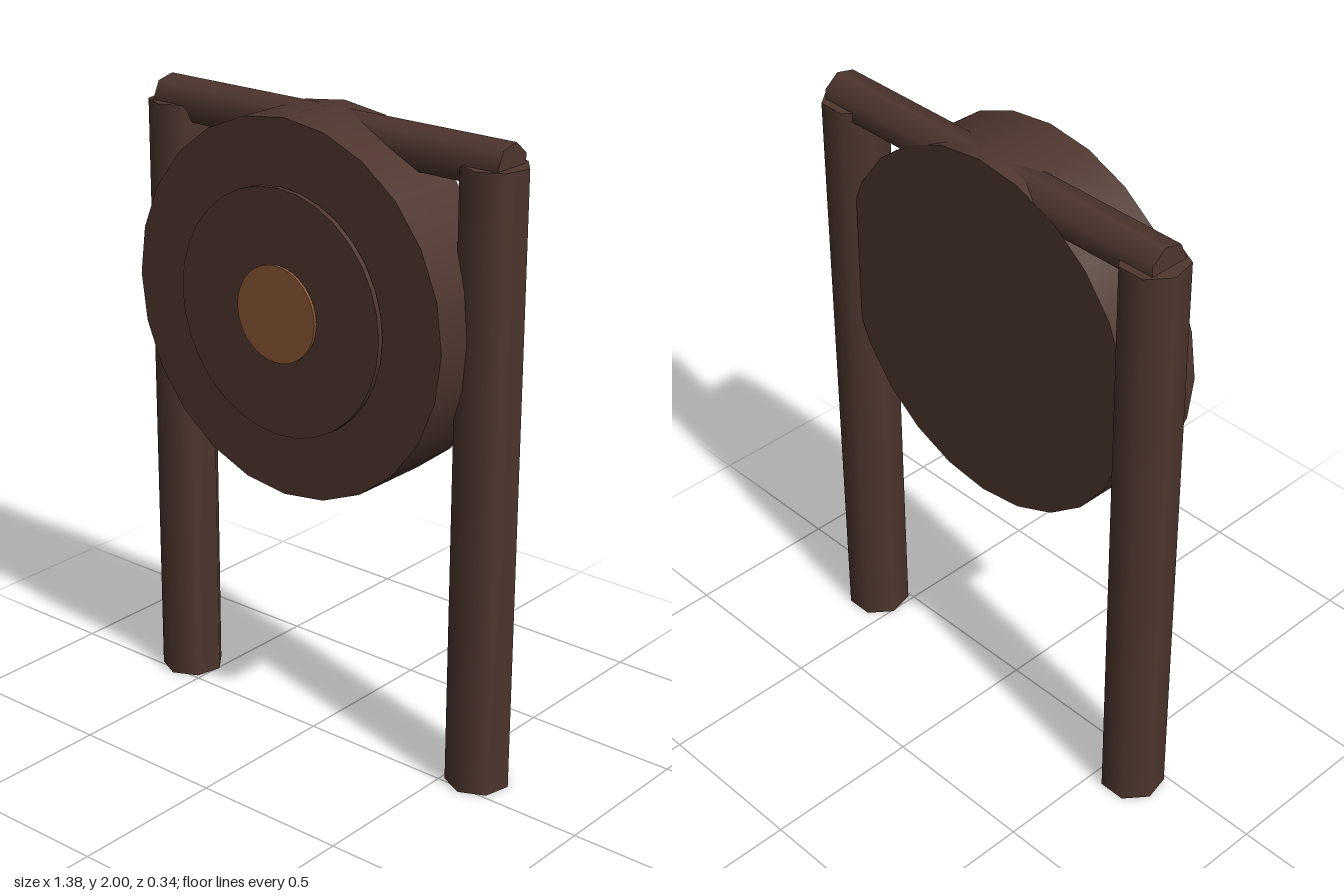
import * as THREE from 'three';

export function createModel() {
  const model = new THREE.Group();
  model.name = 'gongStand';

  const darkWood = new THREE.MeshStandardMaterial({ color: 0x4e362e });
  darkWood.name = 'dark brown';
  const copper = new THREE.MeshStandardMaterial({ color: 0x8d5836 });
  copper.name = 'copper';

  function addCylinder(name, radius, length, sides, material, position) {
    const mesh = new THREE.Mesh(new THREE.CylinderGeometry(radius, radius, length, sides), material);
    mesh.name = name;
    mesh.position.set(...position);
    model.add(mesh);
    return mesh;
  }

  // Round plate facing +z, given by its back and front
  function addDisc(name, radius, back, front, sides, material) {
    const disc = addCylinder(name, radius, front - back, sides, material, [0, 1.424, (back + front) / 2]);
    disc.rotation.x = Math.PI / 2;
  }

  // Seven-sided posts
  addCylinder('leftPost', 0.1, 1.925, 7, darkWood, [0.592, 0.9625, -0.075]);
  addCylinder('rightPost', 0.1, 1.925, 7, darkWood, [-0.592, 0.9625, -0.075]);

  // Crossbar resting in the post tops
  addCylinder('crossbar', 0.07, 1.29, 7, darkWood, [0, 1.925, -0.077]).rotation.z = Math.PI / 2;

  // Gong body, thin raised plate and central boss
  addDisc('gongBody', 0.576, -0.141, 0.133, 24, darkWood);
  addDisc('innerPlate', 0.377, 0.144, 0.161, 32, darkWood);
  addDisc('centreBoss', 0.148, 0.155, 0.17, 32, copper);

  return model;
}
